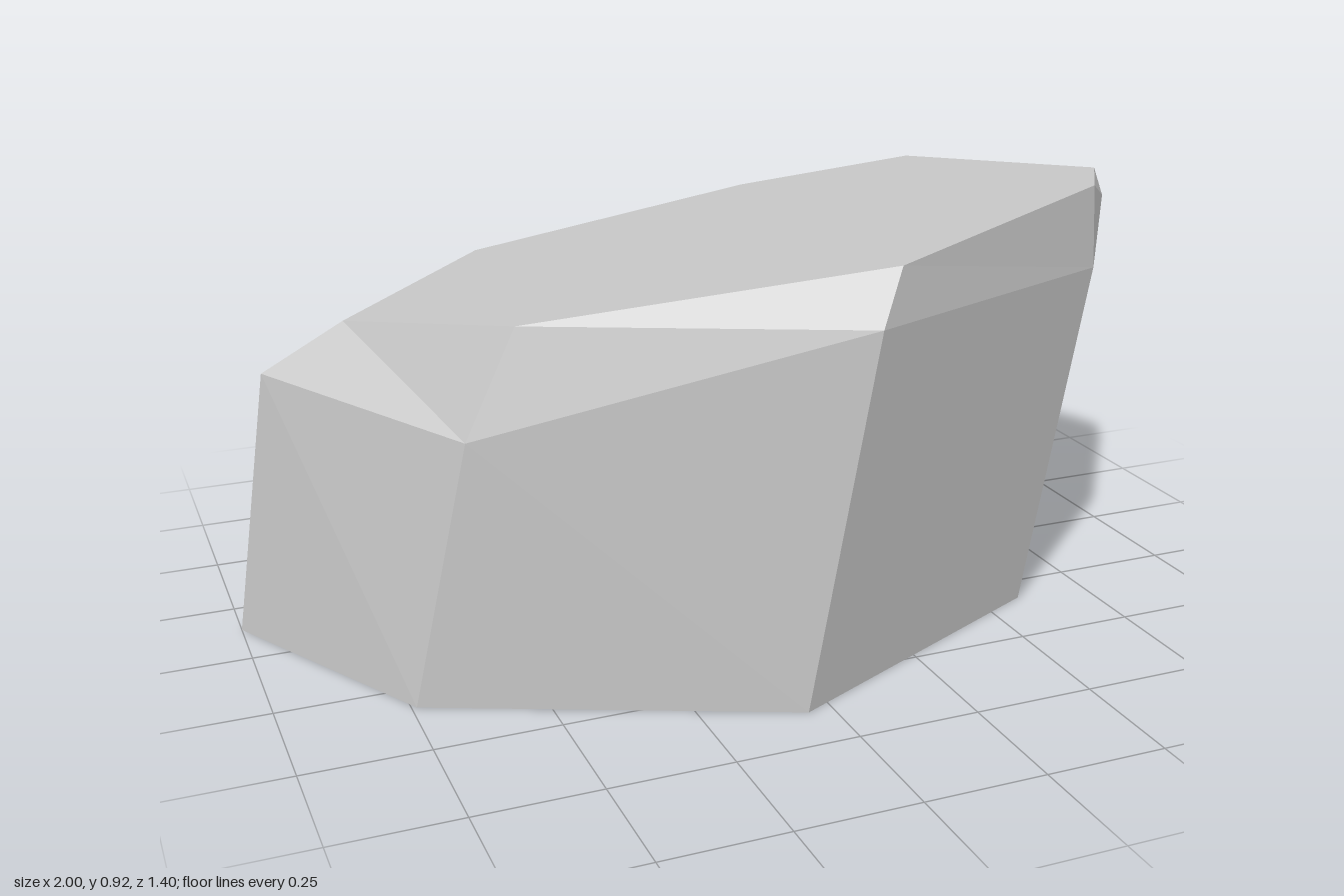
import * as THREE from 'three';

// Three rings of eight corners, counter-clockwise seen from above, starting at the front right
const base = [
  [-0.74, 0, 0.33], [-0.05, 0, 0.63], [0.59, 0, 0.33], [0.88, 0, -0.13],
  [0.80, 0, -0.51], [0.18, 0, -0.70], [-0.57, 0, -0.62], [-1.0, 0, -0.14],
];
const shoulder = [
  [-0.64, 0.55, 0.40], [0.05, 0.77, 0.70], [0.68, 0.75, 0.40], [1.0, 0.74, -0.07],
  [0.89, 0.71, -0.44], [0.28, 0.64, -0.63], [-0.46, 0.51, -0.54], [-0.93, 0.58, -0.06],
];
// The crown is one sloping plane
const crown = [
  [-0.54, 0.40], [0.10, 0.67], [0.67, 0.40], [0.78, 0.23],
  [0.68, -0.42], [0.30, -0.54], [-0.38, -0.47], [-0.77, -0.02],
].map(([x, z]) => [x, 0.786 + 0.132 * x + 0.115 * z, z]);

function facets(name, triangles, material) {
  const geometry = new THREE.BufferGeometry();
  geometry.setAttribute('position', new THREE.Float32BufferAttribute(triangles.flat(2), 3));
  geometry.computeVertexNormals();
  const mesh = new THREE.Mesh(geometry, material);
  mesh.name = name;
  return mesh;
}

const fan = (ring) => ring.slice(2).map((p, i) => [ring[0], ring[i + 1], p]);

export function createModel() {
  const stone = new THREE.MeshStandardMaterial({ color: 0xc8c8c8, flatShading: true });
  stone.name = 'stone grey';

  // The bevel meets the crown all round, but for a narrow worn ledge at one corner
  const ledge = [0.72, 0.815, -0.435];
  const bevelTop = crown.with(4, ledge);

  const walls = [], bevel = [];
  for (let i = 0; i < 8; i++) {
    if (i === 2) continue; // this side carries the chip
    const j = (i + 1) % 8;
    walls.push([base[i], base[j], shoulder[i]], [base[j], shoulder[j], shoulder[i]]);
    bevel.push([shoulder[i], shoulder[j], bevelTop[i]], [shoulder[j], bevelTop[j], bevelTop[i]]);
  }
  bevel.push([ledge, crown[4], crown[3]], [ledge, crown[5], crown[4]]);

  // Left side: wall with a three-cornered opening, rising to a raised lip
  const [b2, b3, s2, s3] = [base[2], base[3], shoulder[2], shoulder[3]];
  const lip = [0.92, 0.81, 0.06];
  const p = [0.815, 0.56, 0.14], q = [0.943, 0.60, -0.03], r = [0.88, 0.20, -0.07];
  const pit = [0.83, 0.45, -0.02];
  walls.push(
    [b2, b3, r], [b3, s3, r], [s3, q, r], [s3, lip, q],
    [lip, s2, q], [s2, p, q], [s2, b2, p], [b2, r, p],
  );
  bevel.push([s2, lip, crown[2]], [lip, crown[3], crown[2]], [s3, crown[3], lip]);

  const rock = new THREE.Group();
  rock.name = 'rock';
  rock.add(
    facets('walls', walls, stone),
    facets('bevel', bevel, stone),
    facets('chip', [[p, r, pit], [r, q, pit], [q, p, pit]], stone),
    facets('crown', fan(crown), stone),
    facets('underside', fan([...base].reverse()), stone),
  );
  return rock;
}
